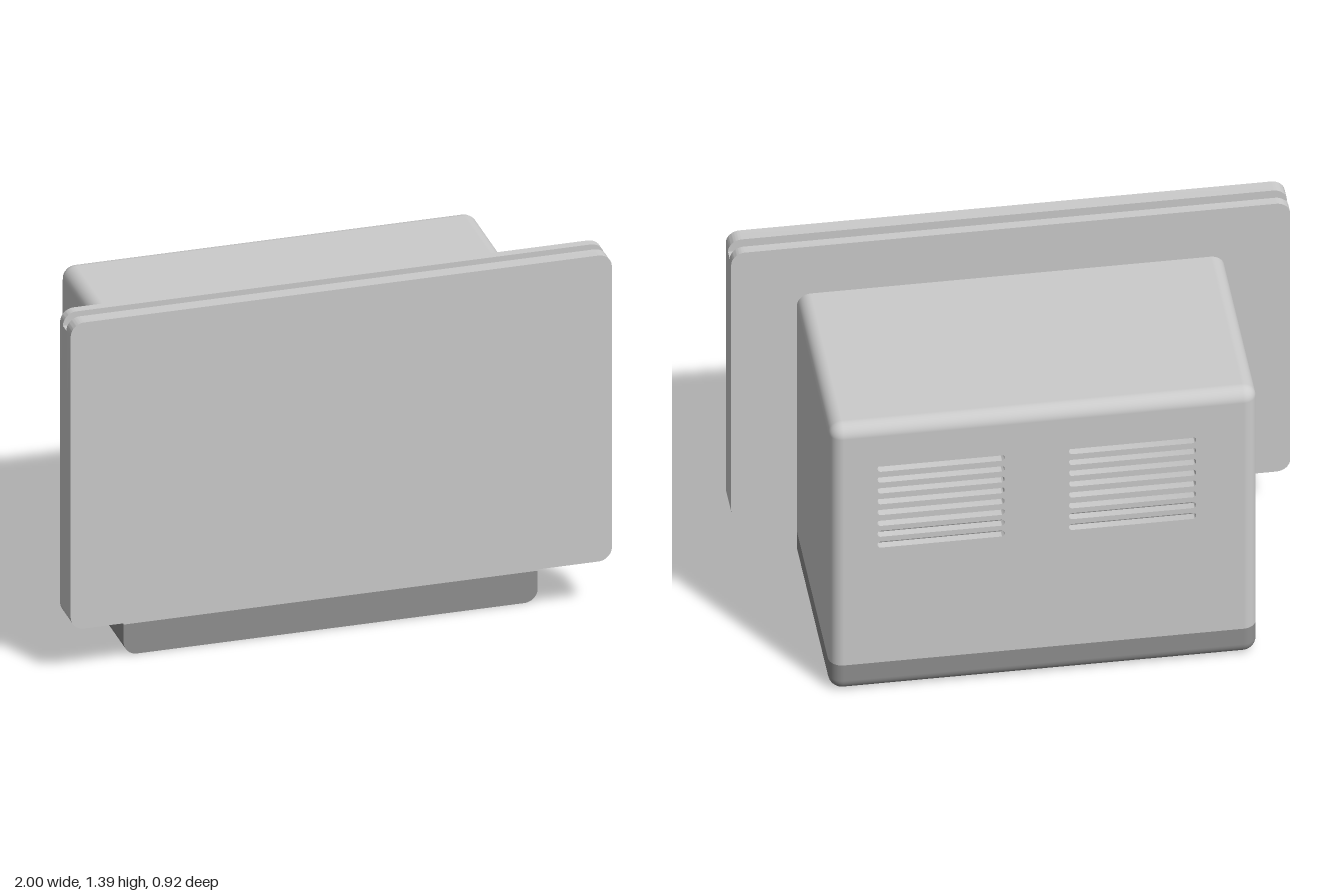
import * as THREE from 'three';
import { toCreasedNormals } from 'three/addons/utils/BufferGeometryUtils.js';

const GREY = 0xcccccc, DARK = 0x8f8f8f;
const HALF_W = 0.765, HEIGHT = 1.18, FRONT = 0.33, BACK = -0.46, R = 0.05, SEAM = 0.12;

function addMesh(parent, name, geometry, color = GREY, side = THREE.FrontSide) {
  const mesh = new THREE.Mesh(geometry, new THREE.MeshStandardMaterial({ color, side }));
  mesh.name = name;
  parent.add(mesh);
  return mesh;
}

// Rectangle with separate radii for the top and bottom corners
function roundedRect(x0, y0, x1, y1, rTop, rBottom, Type = THREE.Shape) {
  const s = new Type();
  s.moveTo(x0 + rBottom, y0);
  s.lineTo(x1 - rBottom, y0);
  if (rBottom) s.absarc(x1 - rBottom, y0 + rBottom, rBottom, -Math.PI / 2, 0);
  s.lineTo(x1, y1 - rTop);
  if (rTop) s.absarc(x1 - rTop, y1 - rTop, rTop, 0, Math.PI / 2);
  s.lineTo(x0 + rTop, y1);
  if (rTop) s.absarc(x0 + rTop, y1 - rTop, rTop, Math.PI / 2, Math.PI);
  s.lineTo(x0, y0 + rBottom);
  if (rBottom) s.absarc(x0 + rBottom, y0 + rBottom, rBottom, Math.PI, Math.PI * 1.5);
  return s;
}

function extrude(shape, z0, z1) {
  const g = new THREE.ExtrudeGeometry(shape, { depth: z1 - z0, bevelEnabled: false, curveSegments: 8 });
  g.translate(0, 0, z0);
  return toCreasedNormals(g, 0.6);
}

// Open wall round the housing, from the seam up or down, with a filleted back edge
function wallGeometry(isTop) {
  const N = 8, cx = HALF_W - R, cy = isTop ? HEIGHT - R : R;
  const start = isTop ? 0 : Math.PI;
  const outline = [];
  const sx = isTop ? 1 : -1;
  outline.push([sx * cx, SEAM, start]);
  for (let k = 0; k < 2; k++) {
    for (let i = 0; i <= N; i++) {
      outline.push([(k ? -sx : sx) * cx, cy, start + (k + i / N) * Math.PI / 2]);
    }
  }
  outline.push([-sx * cx, SEAM, start + Math.PI]);

  const rings = [[FRONT, 0]];
  for (let i = 0; i <= N; i++) {
    const a = (i / N) * Math.PI / 2;
    rings.push([BACK + R - R * Math.sin(a), a]);
  }
  const position = [], normal = [], index = [], n = outline.length;
  rings.forEach(([z, a], j) => outline.forEach(([x, y, t], i) => {
    const dx = Math.cos(t) * Math.cos(a), dy = Math.sin(t) * Math.cos(a);
    position.push(x + R * dx, y + R * dy, z);
    normal.push(dx, dy, -Math.sin(a));
    if (j && i) {
      const d = j * n + i, c = d - 1, b = d - n, e = b - 1;
      index.push(e, c, b, b, c, d);
    }
  }));
  const g = new THREE.BufferGeometry();
  g.setAttribute('position', new THREE.Float32BufferAttribute(position, 3));
  g.setAttribute('normal', new THREE.Float32BufferAttribute(normal, 3));
  g.setIndex(index);
  return g;
}

export function createModel() {
  const model = new THREE.Group();
  model.name = 'displayUnit';

  // Front panel: two plates around a core that stops short to leave a top groove
  const panel = new THREE.Group();
  panel.name = 'frontPanel';
  model.add(panel);
  const plate = roundedRect(-1, 0.19, 1, 1.39, R, R);
  addMesh(panel, 'rearPlate', extrude(plate, FRONT, 0.365));
  addMesh(panel, 'panelCore', extrude(roundedRect(-1, 0.19, 1, 1.34, 0, R), 0.365, 0.407));
  addMesh(panel, 'facePlate', extrude(plate, 0.407, 0.46));

  // Housing walls
  const housing = new THREE.Group();
  housing.name = 'housing';
  model.add(housing);
  addMesh(housing, 'upperWall', wallGeometry(true), GREY, THREE.DoubleSide);
  addMesh(housing, 'baseWall', wallGeometry(false), DARK, THREE.DoubleSide);

  // Back plate with two banks of horizontal vent slots
  const inset = HALF_W - R;
  const backShape = roundedRect(-inset, SEAM, inset, HEIGHT - R, 0, 0);
  const slotH = 0.027, pitch = 0.0485;
  for (const [x0, x1] of [[-0.545, -0.09], [0.14, 0.595]]) {
    for (let i = 0; i < 8; i++) {
      const y = 0.633 + i * pitch;
      const r = slotH / 2 - 0.0005;
      backShape.holes.push(roundedRect(x0, y, x1, y + slotH, r, r, THREE.Path));
    }
  }
  addMesh(housing, 'ventedBack', extrude(backShape, BACK, BACK + 0.03));
  addMesh(housing, 'baseBack', extrude(roundedRect(-inset, R, inset, SEAM, 0, 0), BACK, BACK + 0.03), DARK);

  // Flat front closing the housing behind the panel
  const upperFront = new THREE.ShapeGeometry(roundedRect(-HALF_W, SEAM, HALF_W, HEIGHT, R, 0), 8);
  const baseFront = new THREE.ShapeGeometry(roundedRect(-HALF_W, 0, HALF_W, SEAM, 0, R), 8);
  addMesh(housing, 'upperFront', upperFront, GREY, THREE.DoubleSide).position.z = FRONT;
  addMesh(housing, 'baseFront', baseFront, DARK, THREE.DoubleSide).position.z = FRONT;

  return model;
}
